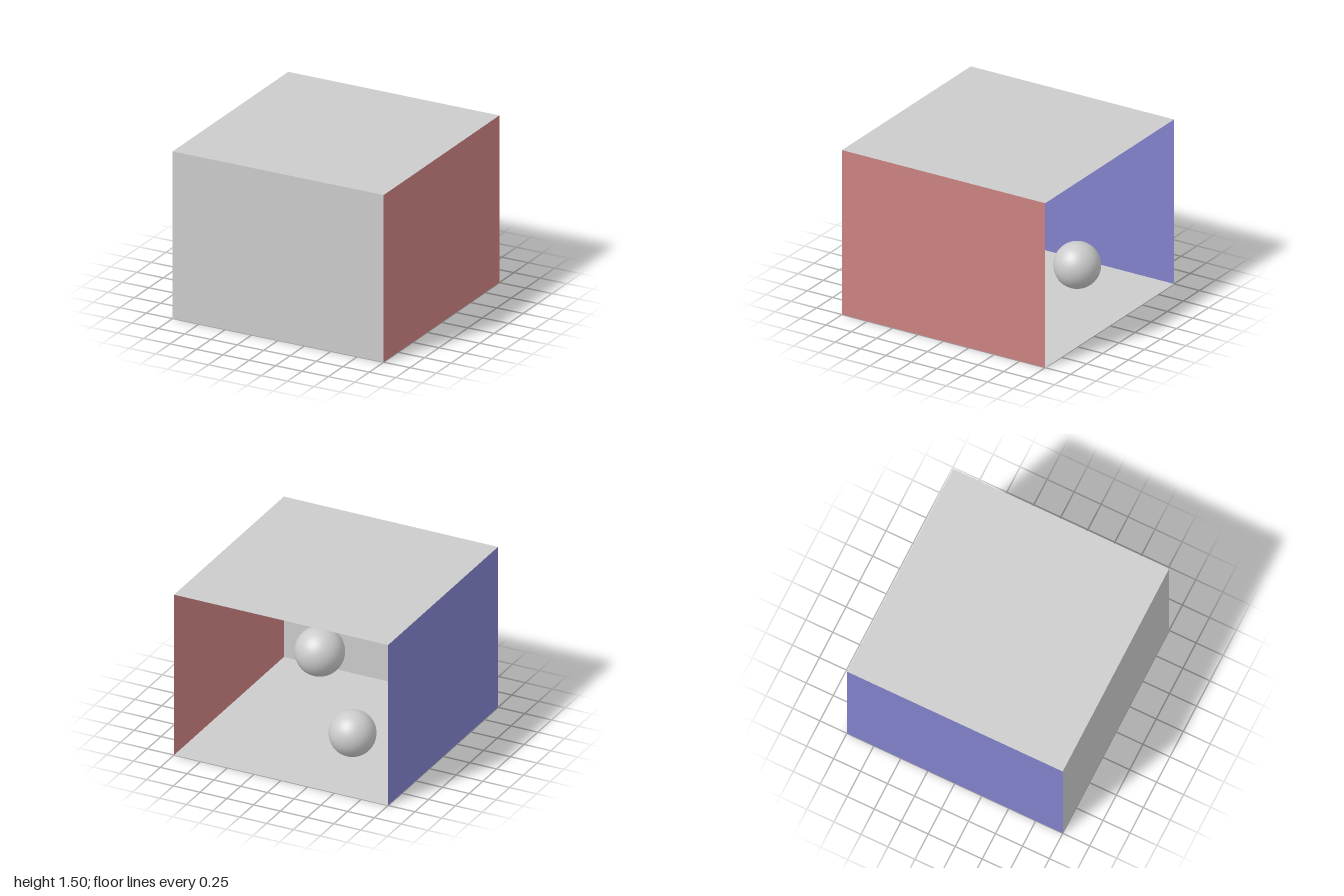
import * as THREE from 'three';

const W = 2, H = 1.5, D = 2;

export function createModel() {
  const model = new THREE.Group();
  model.name = 'openRoom';

  const thin = (color) => new THREE.MeshStandardMaterial({ color, side: THREE.DoubleSide });
  const grey = thin(0xcccccc);
  const red = thin(0xcc8282);
  const blue = thin(0x8282cc);

  // Flat rectangular sheet
  function panel(name, w, h, material, position, rotation = [0, 0, 0]) {
    const mesh = new THREE.Mesh(new THREE.PlaneGeometry(w, h), material);
    mesh.name = name;
    mesh.position.set(...position);
    mesh.rotation.set(...rotation);
    model.add(mesh);
  }

  // Room shell, open at the back
  const q = Math.PI / 2;
  panel('floor', W, D, grey, [0, 0, 0], [-q, 0, 0]);
  panel('ceiling', W, D, grey, [0, H, 0], [q, 0, 0]);
  panel('frontWall', W, H, grey, [0, H / 2, D / 2]);
  panel('leftWall', D, H, red, [W / 2, H / 2, 0], [0, q, 0]);
  panel('rightWall', D, H, blue, [-W / 2, H / 2, 0], [0, -q, 0]);

  // Light panel just under the ceiling
  panel('ceilingLight', 0.8, 0.6, grey, [0, H - 0.005, 0], [q, 0, 0]);

  // Two smooth balls inside
  const ballMaterial = new THREE.MeshStandardMaterial({ color: 0xcccccc });
  for (const [name, r, x, y, z] of [
    ['nearBall', 0.2, -0.38, 0.275, -0.44],
    ['farBall', 0.212, 0.385, 0.45, 0.453],
  ]) {
    const ball = new THREE.Mesh(new THREE.SphereGeometry(r, 48, 32), ballMaterial);
    ball.name = name;
    ball.position.set(x, y, z);
    model.add(ball);
  }

  return model;
}
